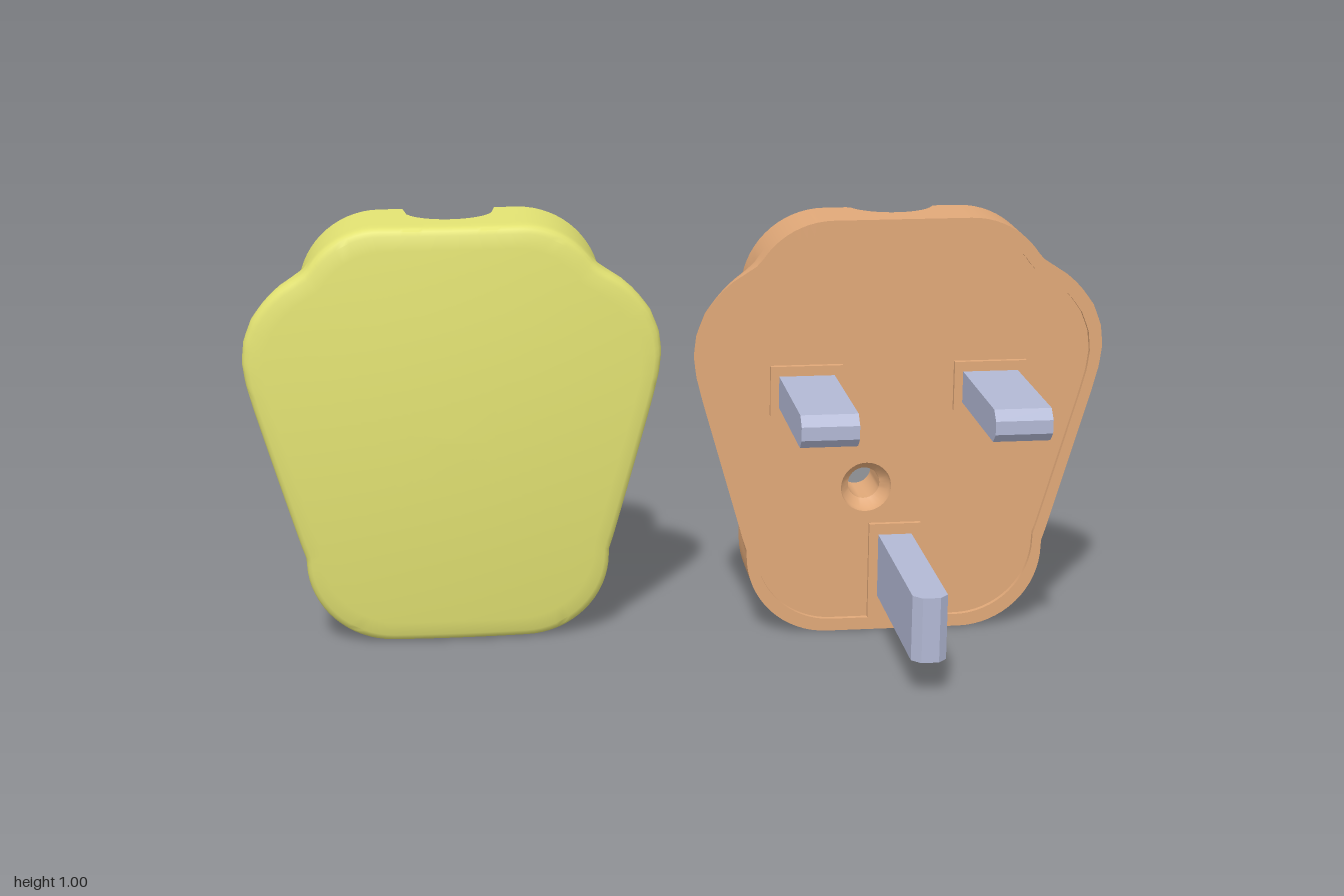
import * as THREE from 'three';
import { toCreasedNormals } from 'three/addons/utils/BufferGeometryUtils.js';

const material = (color) => new THREE.MeshStandardMaterial({ color, side: THREE.DoubleSide });
const HALF = 0.355, RADIUS = 0.195, NOTCH = 0.105;

function add(parent, name, geometry, mat) {
  const mesh = new THREE.Mesh(geometry, mat);
  mesh.name = name;
  parent.add(mesh);
  return mesh;
}

function box(parent, name, mat, [x0, x1], [y0, y1], [z0, z1]) {
  const mesh = add(parent, name, new THREE.BoxGeometry(x1 - x0, y1 - y0, Math.abs(z1 - z0)), mat);
  mesh.position.set((x0 + x1) / 2, (y0 + y1) / 2, (z0 + z1) / 2);
  return mesh;
}

// Surface of revolution around z; profile is a list of [radius, z]
function turned(parent, name, mat, x, y, profile) {
  const lathe = new THREE.LatheGeometry(profile.map(([r, z]) => new THREE.Vector2(r, z)), 32);
  const mesh = add(parent, name, toCreasedNormals(lathe.rotateX(Math.PI / 2), 0.6), mat);
  mesh.position.set(x, y, 0);
  return mesh;
}

// Rounded rectangle of the body, moved inwards by d, counter-clockwise
function bodyRing(d = 0) {
  const pts = [], r = RADIUS - d, cx = HALF - RADIUS;
  const corners = [[cx, RADIUS], [cx, 1 - RADIUS], [-cx, 1 - RADIUS], [-cx, RADIUS]];
  corners.forEach(([x, y], k) => {
    const a0 = (k - 1) * Math.PI / 2;
    for (let i = 0; i <= 16; i++) {
      const a = a0 + i / 16 * Math.PI / 2;
      pts.push(new THREE.Vector2(x + r * Math.cos(a), y + r * Math.sin(a)));
    }
    const next = corners[(k + 1) % 4], a = a0 + Math.PI / 2;
    for (let i = 1; i < 36; i++) {
      const t = i / 36;
      pts.push(new THREE.Vector2(x + (next[0] - x) * t + r * Math.cos(a), y + (next[1] - y) * t + r * Math.sin(a)));
    }
  });
  return pts;
}

// Half-width of the finger grips at each height, as [y, x]
const GRIP = [[0.2, 0.352], [0.24, 0.365], [0.58, 0.461], [0.64, 0.476], [0.69, 0.482], [0.74, 0.476],
  [0.79, 0.456], [0.835, 0.422], [0.865, 0.388], [0.885, 0.355], [0.9, 0.332]];
function gripWidth(y) {
  const i = GRIP.findIndex(([gy]) => gy > y);
  if (i < 1) return 0;
  const [y0, x0] = GRIP[i - 1], [y1, x1] = GRIP[i];
  return x0 + (x1 - x0) * (y - y0) / (y1 - y0);
}

// Body outline widened towards the grips by t and scaled by s
function gripRing(t = 1, s = 1) {
  return bodyRing().map((p) => {
    const w = Math.abs(p.x), x = w + t * Math.max(0, gripWidth(p.y) - w);
    return new THREE.Vector2(Math.sign(p.x) * x * s, 0.5 + (p.y - 0.5) * s);
  });
}

// Skin through [ring, z] loops from front to back; the cable notch trims the top wall
function shell(rings, notchZ) {
  const pos = [], index = [], n = rings[0][0].length;
  for (const [ring, z] of rings) {
    for (const p of ring) {
      let pz = typeof z === 'function' ? z(p) : z;
      if (p.y > 0.8 && Math.abs(p.x) < NOTCH) pz = Math.max(pz, notchZ + Math.sqrt(NOTCH ** 2 - p.x ** 2));
      pos.push(p.x, p.y, pz);
    }
  }
  for (let i = 0; i < rings.length - 1; i++) {
    for (let j = 0; j < n; j++) {
      const a = i * n + j, b = i * n + (j + 1) % n;
      index.push(a, a + n, b, b, a + n, b + n);
    }
  }
  const g = new THREE.BufferGeometry();
  g.setAttribute('position', new THREE.Float32BufferAttribute(pos, 3));
  g.setIndex(index);
  return toCreasedNormals(g, 0.6);
}

function plate(parent, name, mat, ring, z0, z1, hole) {
  const shape = new THREE.Shape(ring);
  shape.holes.push(new THREE.Path().absarc(-0.07, 0.355, hole, 0, Math.PI * 2, true));
  const g = new THREE.ExtrudeGeometry(shape, { depth: z1 - z0, bevelEnabled: false, curveSegments: 24 });
  add(parent, name, g.translate(0, 0, z0), mat);
}

// Blade with chamfered tip: u is the chamfered width, depth the other one
function blade(u, depth, z0, z1, c) {
  const h = u / 2;
  const shape = new THREE.Shape([[-h, z0], [h, z0], [h, z1 - c], [h - c, z1], [c - h, z1], [-h, z1 - c]]
    .map(([a, b]) => new THREE.Vector2(a, b)));
  return new THREE.ExtrudeGeometry(shape, { depth, bevelEnabled: false })
    .translate(0, 0, -depth / 2).rotateX(Math.PI / 2);
}

function createCover() {
  const cover = new THREE.Group(), mat = material(0xe2e272);
  cover.name = 'cover';
  const dome = (p) => -0.053 - 0.2 * p.x ** 2 - 0.13 * (p.y - 0.58) ** 2;
  const rings = [0.001, 0.2, 0.4, 0.6, 0.8, 0.9, 0.965].map((s) => [gripRing(1, s), dome]);
  rings.push([gripRing(1, 0.985), (p) => dome(p) - 0.004], [gripRing(1, 0.996), (p) => dome(p) - 0.012],
    [gripRing(), (p) => dome(p) - 0.022]);
  for (const [t, z] of [[1, -0.133], [0.96, -0.145], [0.85, -0.154], [0.3, -0.158], [0.12, -0.163], [0.03, -0.173], [0, -0.19]]) {
    rings.push([gripRing(t), z]);
  }
  // Rim, ledge, inner wall and floor
  for (const [d, z] of [[0, -0.305], [0.02, -0.305], [0.02, -0.23], [0.05, -0.23], [0.05, -0.115]]) rings.push([bodyRing(d), z]);
  rings.push([gripRing(0, 0.001), -0.115]);
  add(cover, 'coverShell', shell(rings, -0.28), mat);

  for (const [x, y, r, hole, z] of [[0.07, 0.365, 0.085, 0.05, -0.3], [0, 0.16, 0.055, 0.037, -0.28], [0.215, 0.61, 0.055, 0.037, -0.28]]) {
    turned(cover, 'coverBoss', mat, x, y, [[0, -0.14], [hole, -0.14], [hole, z], [r, z], [r, -0.11]]);
  }
  // Ribs and cable stop
  box(cover, 'crossRib', mat, [-0.3, 0.3], [0.765, 0.785], [-0.21, -0.11]);
  box(cover, 'cableStop', mat, [-0.09, 0.07], [0.86, 0.89], [-0.25, -0.11]);
  box(cover, 'cableStopStep', mat, [-0.03, 0.07], [0.83, 0.86], [-0.22, -0.11]);
  for (const x of [-0.1, 0.1]) box(cover, 'longRib', mat, [x - 0.01, x + 0.01], [0.45, 0.765], [-0.21, -0.11]);
  box(cover, 'lowerRib', mat, [-0.02, 0], [0.2, 0.33], [-0.21, -0.11]);
  box(cover, 'fuseStop', mat, [-0.2, -0.1], [0.45, 0.475], [-0.21, -0.11]);
  for (const y of [0.56, 0.62]) box(cover, 'fuseLug', mat, [-0.21, -0.13], [y, y + 0.025], [-0.25, -0.11]);
  return cover;
}

function createBase() {
  const base = new THREE.Group(), mat = material(0xe0a878), metal = material(0xb2b8d4);
  base.name = 'base';
  const front = -0.065, panel = -0.077, floor = -0.115;
  const rings = [[gripRing(1, 0.94), panel], [gripRing(1, 0.94), front], [gripRing(), front]];
  for (let i = 1; i <= 8; i++) {
    const a = i / 8 * Math.PI / 2;
    rings.push([gripRing(Math.cos(a)), front - 0.062 * Math.sin(a)]);
  }
  // Side wall, step, raised lip and inner wall
  for (const [d, z] of [[0, -0.215], [0.023, -0.215], [0.023, -0.292], [0.06, -0.292], [0.06, floor]]) rings.push([bodyRing(d), z]);
  add(base, 'baseShell', shell(rings, -0.25), mat);
  plate(base, 'frontPanel', mat, gripRing(1, 0.945), panel - 0.004, panel, 0.06);
  plate(base, 'floor', mat, bodyRing(0.055), floor, panel - 0.004, 0.06);
  turned(base, 'screwTunnel', mat, -0.07, 0.355,
    [[0.06, panel], [0.057, -0.09], [0.038, -0.11], [0.038, -0.23], [0.085, -0.23], [0.085, -0.11]]);

  // Pins on raised pads
  for (const side of [-1, 1]) {
    const x = side * 0.217;
    box(base, 'pinPad', mat, [x - 0.085, x + 0.085], [0.54, 0.658], [-0.09, front]);
    add(base, 'sidePin', blade(0.075, 0.13, -0.15, 0.28, 0.022).rotateZ(Math.PI / 2), metal).position.set(x, 0.597, 0);
  }
  box(base, 'earthPinPad', mat, [-0.062, 0.062], [0.03, 0.265], [-0.09, front]);
  add(base, 'earthPin', blade(0.08, 0.153, -0.15, 0.375, 0.02), metal).position.set(0, 0.162, 0);

  // Terminals with clamping screws
  for (const [x, y, z] of [[-0.217, 0.6, -0.358], [0, 0.162, -0.338]]) {
    box(base, 'terminal', metal, [x - 0.06, x + 0.06], [y - 0.075, y + 0.075], [-0.24, -0.11]);
    turned(base, 'terminalScrew', metal, x, y, [[0, -0.2], [0.035, -0.2], [0.035, z], [0, z]]);
    box(base, 'screwSlot', mat, [x - 0.036, x + 0.036], [y - 0.008, y + 0.008], [-0.315, -0.295]);
  }
  // Fuse clips
  box(base, 'fuseClipFoot', metal, [0.15, 0.285], [0.53, 0.655], [-0.17, -0.11]);
  for (const x of [0.16, 0.277]) box(base, 'fuseClip', metal, [x - 0.011, x + 0.011], [0.533, 0.655], [-0.375, -0.11]);
  for (const x of [0.14, -0.15]) box(base, 'upperClip', metal, [x - 0.011, x + 0.011], [0.73, 0.935], [-0.372, -0.2]);

  // Cable grip: two sloping leaves
  for (const side of [-1, 1]) {
    const leaf = box(base, 'cableGrip', metal, [-0.09, 0.09], [0.735, 0.9], [-0.01, 0.01]);
    leaf.position.set(side * 0.07, 0.818, -0.3);
    leaf.rotation.y = -side * 0.65;
  }
  // Inner ribs
  for (const [x, y, z] of [
    [[-0.3, -0.12], [0.7, 0.72], -0.24], [[0.12, 0.3], [0.7, 0.72], -0.24],
    [[-0.13, -0.11], [0.5, 0.94], -0.24], [[0.11, 0.13], [0.45, 0.94], -0.24],
    [[0.1, 0.3], [0.43, 0.45], -0.22], [[0.16, 0.3], [0.3, 0.32], -0.22],
    [[0.12, 0.14], [0.07, 0.32], -0.18], [[0.1, 0.3], [0.23, 0.25], -0.2],
    [[-0.3, -0.16], [0.45, 0.47], -0.22], [[-0.12, -0.1], [0.07, 0.28], -0.2],
    [[-0.12, 0.12], [0.86, 0.94], -0.145],
  ]) box(base, 'innerRib', mat, x, y, [z, -0.11]);
  return base;
}

export function createModel() {
  const model = new THREE.Group();
  model.name = 'openPlug';
  const cover = createCover(), base = createBase();
  cover.position.x = -0.518;
  base.position.x = 0.515;
  model.add(cover, base);
  return model;
}
